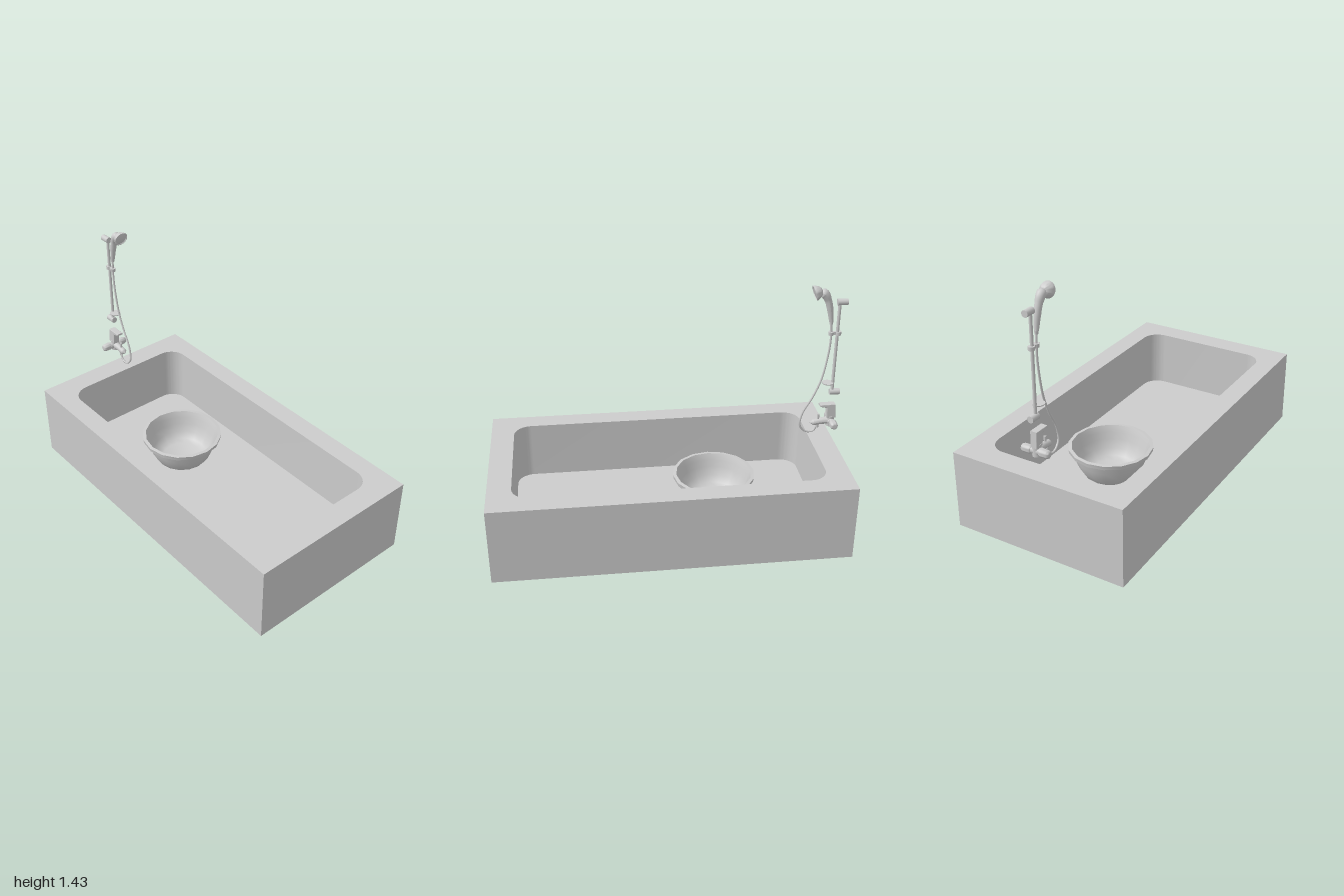
import * as THREE from 'three';
import { toCreasedNormals } from 'three/addons/utils/BufferGeometryUtils.js';

const solid = new THREE.MeshStandardMaterial({ color: 0xcccccc });
const thin = new THREE.MeshStandardMaterial({ color: 0xcccccc, side: THREE.DoubleSide });
const v2 = (a) => a.map(([x, y]) => new THREE.Vector2(x, y));
const v3 = (a) => a.map((p) => new THREE.Vector3(...p));

function add(parent, name, geometry, pos = [0, 0, 0], material = solid) {
  const mesh = new THREE.Mesh(geometry, material);
  mesh.name = name;
  mesh.position.set(...pos);
  parent.add(mesh);
  return mesh;
}

// Rectangle outline with rounded corners, centred on the origin
function roundedRect(w, d, r) {
  const s = new THREE.Shape();
  s.absarc(w - r, d - r, r, 0, Math.PI / 2);
  s.absarc(r - w, d - r, r, Math.PI / 2, Math.PI);
  s.absarc(r - w, r - d, r, Math.PI, Math.PI * 1.5);
  s.absarc(w - r, r - d, r, Math.PI * 1.5, Math.PI * 2);
  s.closePath();
  return s;
}

// Upright wall following an outline between two heights
function wall(points, y0, y1) {
  const pos = [];
  points.forEach((a, i) => {
    const b = points[(i + 1) % points.length];
    if (a.distanceTo(b) < 1e-6) return;
    pos.push(a.x, y0, -a.y, b.x, y0, -b.y, b.x, y1, -b.y);
    pos.push(a.x, y0, -a.y, b.x, y1, -b.y, a.x, y1, -a.y);
  });
  const g = new THREE.BufferGeometry();
  g.setAttribute('position', new THREE.Float32BufferAttribute(pos, 3));
  return toCreasedNormals(g, 0.6);
}

// Round tube whose radius follows a list of values along its path
function taperedTube(path, radii, segments = 24, sides = 16) {
  const g = new THREE.TubeGeometry(path, segments, 1, sides);
  const p = g.attributes.position, v = new THREE.Vector3();
  for (let i = 0; i <= segments; i++) {
    const t = (i / segments) * (radii.length - 1);
    const k = Math.min(Math.floor(t), radii.length - 2);
    const r = THREE.MathUtils.lerp(radii[k], radii[k + 1], t - k);
    const c = path.getPointAt(i / segments);
    for (let j = 0; j <= sides; j++) {
      const n = i * (sides + 1) + j;
      v.fromBufferAttribute(p, n).sub(c).multiplyScalar(r).add(c);
      p.setXYZ(n, v.x, v.y, v.z);
    }
  }
  g.computeVertexNormals();
  return g;
}

const lathe = (profile, sides, crease = 0.7) =>
  toCreasedNormals(new THREE.LatheGeometry(v2(profile), sides), crease);

function makeTub() {
  const tub = new THREE.Group();
  tub.name = 'bathtub';
  const W = 0.512, H = 0.45, FLOOR = 0.11;
  const outer = new THREE.Shape(v2([[-W, -1], [W, -1], [W, 1], [-W, 1]]));
  const basin = roundedRect(0.395, 0.867, 0.1);
  const rim = outer.clone();
  rim.holes.push(basin);
  add(tub, 'tubRim', new THREE.ShapeGeometry(rim, 10).rotateX(-Math.PI / 2), [0, H, 0], thin);
  add(tub, 'tubFloor', new THREE.ShapeGeometry(basin, 10).rotateX(-Math.PI / 2), [0, FLOOR, 0], thin);
  add(tub, 'outerWalls', wall(outer.getPoints(), 0, H), [0, 0, 0], thin);
  add(tub, 'basinWalls', wall(basin.getPoints(10).reverse(), FLOOR, H), [0, 0, 0], thin);
  return tub;
}

// Wash bowl: up the outside, over the lip, down the inside
function makeBowl() {
  const profile = [[0, 0], [0.13, 0], [0.155, 0.02], [0.18, 0.06], [0.2, 0.11], [0.211, 0.155],
    [0.236, 0.163], [0.24, 0.186], [0.22, 0.188], [0.205, 0.15], [0.195, 0.11], [0.175, 0.062],
    [0.15, 0.026], [0.12, 0.012], [0, 0.01]];
  const bowl = new THREE.Group();
  bowl.name = 'bowl';
  add(bowl, 'washBowl', lathe(profile, 16, 0.8), [0, 0.104, -0.288]);
  return bowl;
}

function makeShower() {
  const shower = new THREE.Group();
  shower.name = 'showerSet';
  // Rail with wall brackets
  add(shower, 'rail', new THREE.CylinderGeometry(0.009, 0.009, 0.56, 16), [0, 1.055, -0.957]);
  for (const y of [0.784, 1.328]) {
    add(shower, 'railBracket', new THREE.CylinderGeometry(0.018, 0.018, 0.057, 20).rotateX(Math.PI / 2), [0, y, -0.9715]);
  }
  // Sliding holder and soap tray
  add(shower, 'slider', new THREE.CylinderGeometry(0.017, 0.017, 0.02, 16), [0, 1.145, -0.962]);
  add(shower, 'sliderArm', new THREE.BoxGeometry(0.014, 0.018, 0.04), [0, 1.145, -0.94]);
  add(shower, 'handsetHolder', new THREE.CylinderGeometry(0.016, 0.014, 0.02, 16), [0, 1.145, -0.922]);
  add(shower, 'soapTray', new THREE.CylinderGeometry(0.033, 0.031, 0.006, 24), [0, 0.841, -0.929]);

  // Hand shower
  const head = add(shower, 'showerHead', lathe([[0, -0.044], [0.016, -0.041], [0.029, -0.03],
    [0.038, -0.014], [0.042, -0.004], [0.042, 0], [0.037, 0.002], [0.034, -0.002], [0, -0.002]], 28), [0, 1.385, -0.813]);
  head.rotation.x = Math.PI / 2 + 0.29;
  const grip = new THREE.CatmullRomCurve3(v3([[0, 1.392, -0.835], [0, 1.382, -0.865], [0, 1.345, -0.888],
    [0, 1.29, -0.904], [0, 1.215, -0.917]]));
  add(shower, 'showerHandle', taperedTube(grip, [0.004, 0.026, 0.024, 0.02, 0.019, 0.018, 0.016, 0.014, 0.012]));
  add(shower, 'handleEnd', new THREE.CylinderGeometry(0.011, 0.009, 0.02, 16), [0, 1.21, -0.918]);

  // Hose hanging down and looping back to the mixer
  const hose = new THREE.CatmullRomCurve3(v3([[0, 1.215, -0.917], [0, 1.13, -0.923], [0, 1.03, -0.918],
    [0, 0.866, -0.89], [0, 0.76, -0.85], [-0.002, 0.65, -0.795], [-0.005, 0.57, -0.787], [-0.008, 0.53, -0.825],
    [-0.007, 0.533, -0.868], [-0.003, 0.58, -0.89]]));
  add(shower, 'hose', new THREE.TubeGeometry(hose, 72, 0.006, 8));
  return shower;
}

function makeMixer() {
  const mixer = new THREE.Group();
  mixer.name = 'mixerTap';
  // Cross body with a thick rounded cap at each end
  add(mixer, 'mixerBody', new THREE.CylinderGeometry(0.021, 0.021, 0.07, 20).rotateZ(Math.PI / 2), [0, 0.598, -0.962]);
  for (const side of [-1, 1]) {
    const cap = add(mixer, 'mixerArm', lathe([[0, 0.024], [0.02, 0.026], [0.023, 0.035], [0.022, 0.07],
      [0.018, 0.08], [0.01, 0.084], [0, 0.084]], 20, 0.9), [0, 0.598, -0.967]);
    cap.rotation.z = -side * Math.PI / 2;
  }
  add(mixer, 'mixerCore', new THREE.CylinderGeometry(0.023, 0.024, 0.065, 20), [0, 0.602, -0.96]);

  // Spout with diverter knob and hose outlet
  const spout = new THREE.CatmullRomCurve3(v3([[0, 0.601, -0.955], [0, 0.598, -0.91], [0, 0.592, -0.87], [0, 0.589, -0.843]]));
  add(mixer, 'spout', taperedTube(spout, [0.023, 0.021, 0.02, 0.019, 0.019, 0.018, 0.001]));
  add(mixer, 'diverterKnob', new THREE.CylinderGeometry(0.007, 0.007, 0.035, 12), [0, 0.625, -0.89]);
  add(mixer, 'hoseOutlet', new THREE.CylinderGeometry(0.01, 0.009, 0.02, 12), [-0.003, 0.567, -0.889]);

  // Lever: upright stem with a flat grip reaching forward
  const lever = new THREE.Shape(v2([[0.984, 0.625], [0.94, 0.625], [0.936, 0.69], [0.895, 0.7], [0.895, 0.706], [0.978, 0.707]]));
  const blade = new THREE.ExtrudeGeometry(lever, { depth: 0.034, bevelSize: 0.003, bevelThickness: 0.003, bevelSegments: 2 });
  add(mixer, 'lever', blade.translate(0, 0, -0.017).rotateY(Math.PI / 2));
  return mixer;
}

export function createModel() {
  const model = new THREE.Group();
  model.name = 'bathtubWithShower';
  model.add(makeTub(), makeBowl(), makeShower(), makeMixer());
  return model;
}
